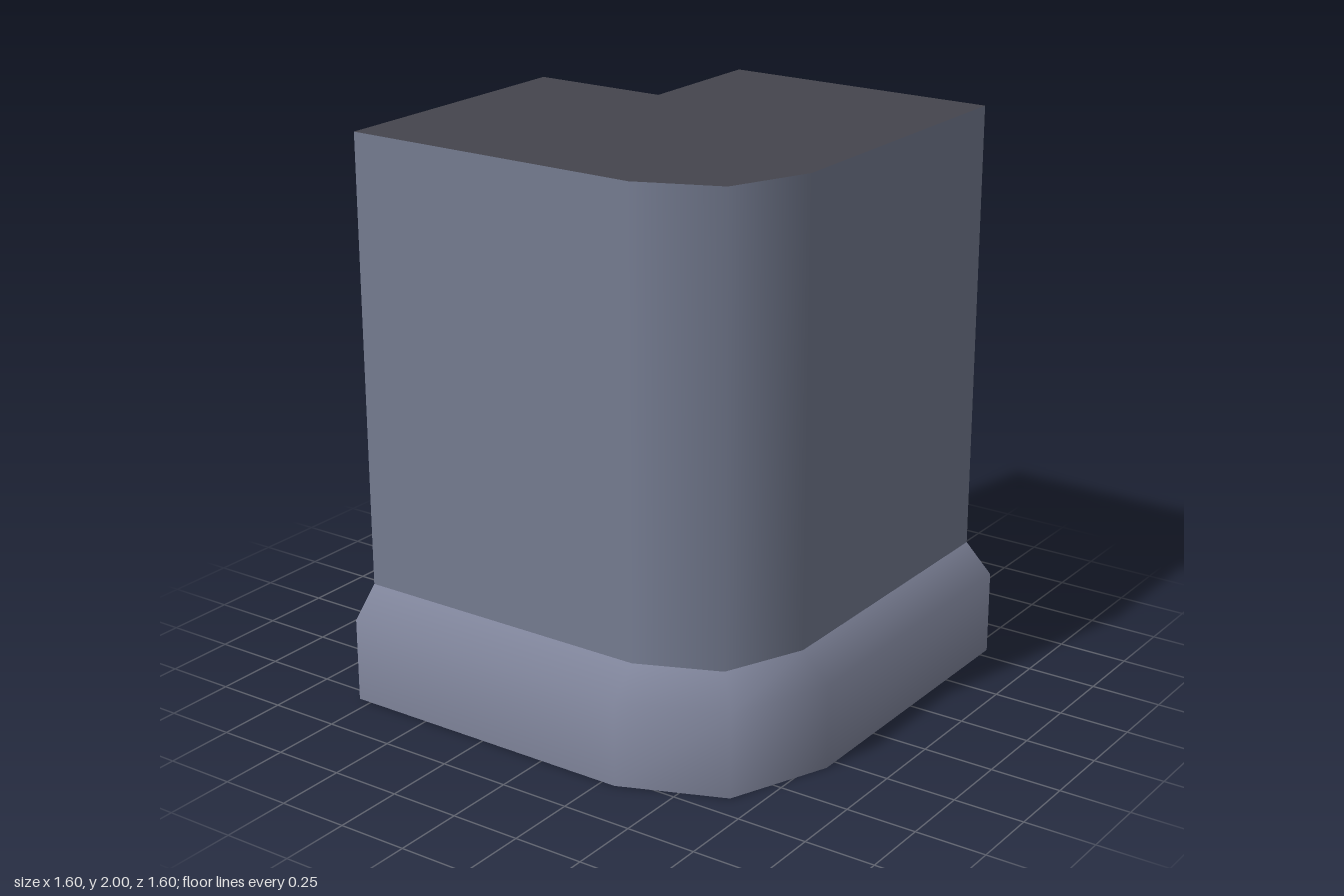
import * as THREE from 'three';

const material = (name, color) => {
  const m = new THREE.MeshStandardMaterial({ color });
  m.name = name;
  return m;
};

// Skin between stacked rows of points; each point is [x, z, normalX, normalZ],
// each row is { y, points, tilt } with tilt the upward lean of its normals.
function skin(rows) {
  const pos = [], nor = [], index = [];
  const n = rows[0].points.length;
  rows.forEach(({ y, points, tilt = 0 }, j) => {
    points.forEach(([x, z, nx, nz], i) => {
      pos.push(x, y, z);
      nor.push(nx * Math.cos(tilt), Math.sin(tilt), nz * Math.cos(tilt));
      if (j > 0 && i > 0) {
        const d = j * n + i, c = d - 1, b = d - n, a = b - 1;
        index.push(a, b, d, a, d, c);
      }
    });
  });
  const g = new THREE.BufferGeometry();
  g.setAttribute('position', new THREE.Float32BufferAttribute(pos, 3));
  g.setAttribute('normal', new THREE.Float32BufferAttribute(nor, 3));
  g.setIndex(index);
  return g;
}

const flat = (points) =>
  new THREE.ShapeGeometry(new THREE.Shape(points.map(([x, y]) => new THREE.Vector2(x, y))));

// Outer run with its rounded corner; r is the reach from the centre
const outer = (r) => {
  const k = r === 0.8 ? 0.655 : 0.58;
  return [[-0.8, r, 0, 1], [0.3, r, 0, 1], [k, k, Math.SQRT1_2, Math.SQRT1_2], [r, 0.3, 1, 0], [r, -0.8, 1, 0]];
};
// The two faces of the square notch at the back
const notchSide = (e) => [[e, -0.8, -1, 0], [e, e, -1, 0]];
const notchBack = (e) => [[e, e, 0, -1], [-0.8, e, 0, -1]];

export function createModel() {
  const wall = material('wall grey', 0x747b90);
  const trim = material('trim grey', 0x7e8399);
  const dark = material('dark cap', 0x45454d);
  const green = material('green stripe', 0x409a73);

  const group = new THREE.Group();
  group.name = 'cornerWall';
  const add = (name, geometry, mat) => {
    const mesh = new THREE.Mesh(geometry, mat);
    mesh.name = name;
    group.add(mesh);
  };

  // Each run: skirting with a sloped top, then the upright wall
  const runs = [
    ['outer', outer, 0.8, 0.7, false],
    ['notchSide', notchSide, -0.4, -0.3, true],
    ['notchBack', notchBack, -0.4, -0.3, true],
  ];
  for (const [name, run, low, high, striped] of runs) {
    add(name + 'Skirting', skin([
      { y: 0, points: run(low) },
      { y: 0.3, points: run(low), tilt: Math.PI / 8 },
      { y: 0.4, points: run(high), tilt: Math.PI / 4 },
    ]), trim);
    const start = striped ? 1.2 : 0.4;
    add(name + 'Wall', skin([{ y: start, points: run(high) }, { y: 2, points: run(high) }]), wall);
    if (striped) {
      add(name + 'Stripe', skin([{ y: 0.4, points: run(high) }, { y: start, points: run(high) }]), green);
    }
  }

  // Cut ends share one profile
  const profile = [[-0.4, 0], [0.8, 0], [0.8, 0.3], [0.7, 0.4], [0.7, 2], [-0.3, 2], [-0.3, 0.4], [-0.4, 0.3]];
  add('rearEnd', flat(profile.map(([u, y]) => [-u, y])).rotateY(Math.PI).translate(0, 0, -0.8), dark);
  add('sideEnd', flat(profile).rotateY(-Math.PI / 2).translate(-0.8, 0, 0), dark);

  // Top cap and underside
  const plan = (r, e) => [...outer(r), [e, -0.8], [e, e], [-0.8, e]];
  add('topCap', flat(plan(0.7, -0.3).map(([x, z]) => [x, -z])).rotateX(-Math.PI / 2).translate(0, 2, 0), dark);
  add('underside', flat(plan(0.8, -0.4)).rotateX(Math.PI / 2), wall);

  return group;
}
